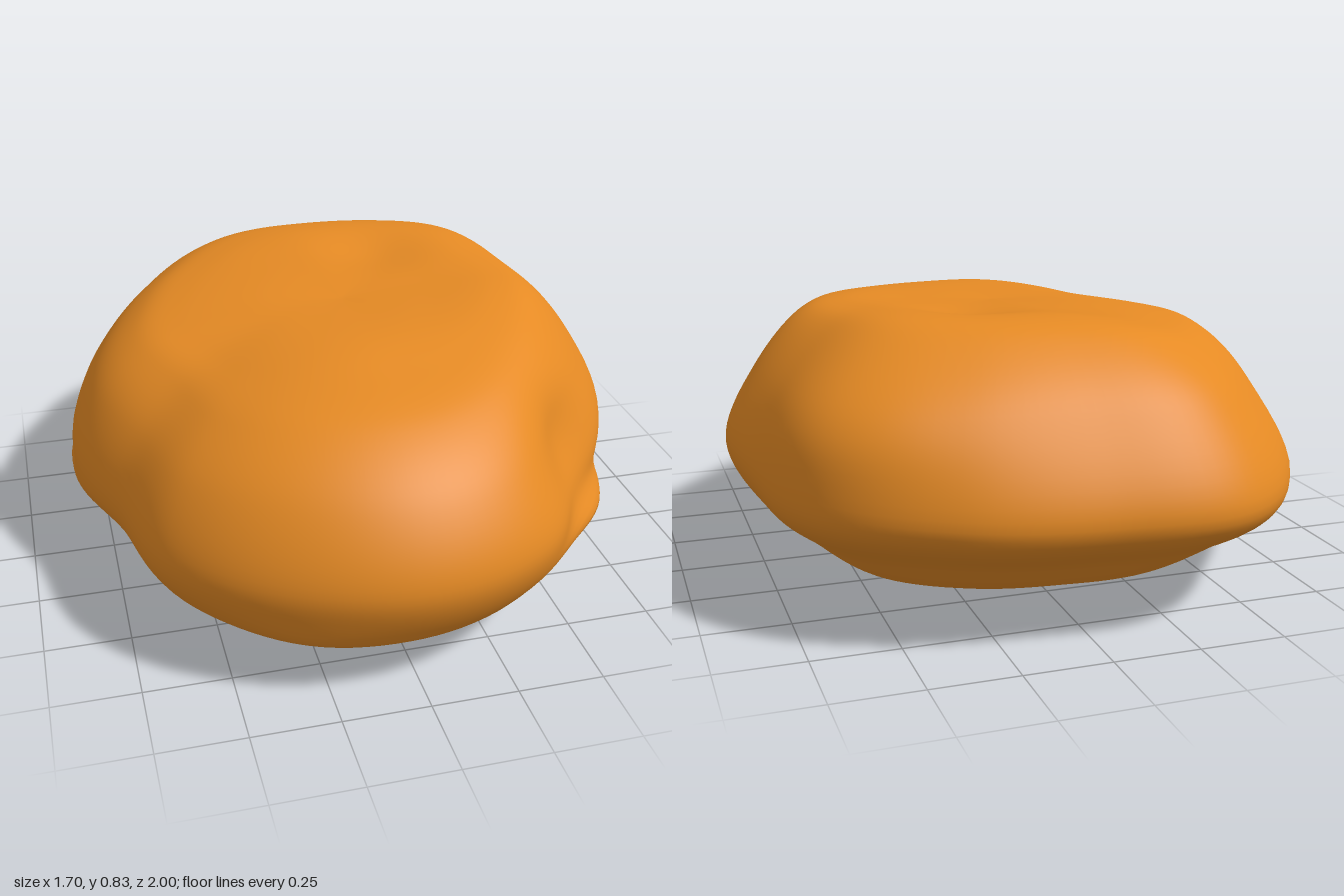
import * as THREE from 'three';
import { mergeVertices } from 'three/addons/utils/BufferGeometryUtils.js';

const AROUND = 144, DOWN = 80;

// Widest outline: radius every 22.5 degrees, turning from +x towards +z
const OUTLINE = [0.845, 0.82, 0.86, 0.95, 0.995, 0.975, 0.92, 0.81,
  0.85, 0.88, 0.97, 1.05, 0.985, 0.985, 0.98, 0.875];

// Profiles from top to bottom (fraction of outline, height) for +x, +z, -x, -z
const PROFILES = [
  [[0, 0.79], [0.3, 0.805], [0.57, 0.815], [0.73, 0.77], [0.89, 0.61], [1, 0.41], [0.9, 0.25], [0.71, 0.1], [0.5, 0.05], [0, 0.045]],
  [[0, 0.79], [0.3, 0.8], [0.5, 0.77], [0.72, 0.71], [0.9, 0.57], [1, 0.36], [0.92, 0.18], [0.8, 0.11], [0.6, 0.005], [0, 0.045]],
  [[0, 0.79], [0.3, 0.79], [0.58, 0.76], [0.75, 0.71], [0.9, 0.58], [1, 0.34], [0.94, 0.21], [0.68, 0.12], [0.4, 0.06], [0, 0.045]],
  [[0, 0.79], [0.3, 0.815], [0.53, 0.835], [0.69, 0.79], [0.87, 0.63], [1, 0.35], [0.8, 0.19], [0.6, 0.06], [0.3, 0.05], [0, 0.045]],
].map(p => new THREE.SplineCurve(p.map(([r, y]) => new THREE.Vector2(r, y))));

// Local swellings and dents: centre, spread across and in height, push outwards, lift upwards
const LUMPS = [
  { at: [0.5, 0.46, 0.57], wide: 0.22, tall: 0.18, push: -0.1, lift: 0 },    // front hollow
  { at: [0.68, 0.24, 0.48], wide: 0.28, tall: 0.06, push: 0.09, lift: 0 },   // lip below it
  { at: [0.7, 0.29, -0.5], wide: 0.3, tall: 0.08, push: 0.03, lift: 0 },     // back side belly
  { at: [0.58, 0.6, -0.6], wide: 0.35, tall: 0.16, push: 0.07, lift: 0 },    // back shoulder
  { at: [-0.6, 0.62, -0.55], wide: 0.3, tall: 0.16, push: -0.03, lift: 0 },
  { at: [-0.52, 0.66, 0.35], wide: 0.28, tall: 0.22, push: -0.02, lift: -0.05 }, // front side slope
  { at: [-0.8, 0.32, -0.33], wide: 0.22, tall: 0.04, push: -0.05, lift: 0 }, // side crease
  { at: [-0.8, 0.22, -0.33], wide: 0.24, tall: 0.05, push: 0.06, lift: 0 },  // side lobe
  { at: [-0.45, 0.09, 0.45], wide: 0.22, tall: 0.08, push: 0.09, lift: 0 },  // lower front corner
  { at: [-0.28, 0.18, 0.8], wide: 0.22, tall: 0.08, push: 0.03, lift: 0 },
  { at: [-0.62, 0.12, 0], wide: 0.22, tall: 0.1, push: -0.04, lift: 0 },
  { at: [0, 0.03, 0.2], wide: 0.25, tall: 0.1, push: 0, lift: 0.018 },       // hollow underside
  { at: [-0.4, 0.8, -0.5], wide: 0.3, tall: 0.3, push: 0, lift: -0.03 },     // top slopes
  { at: [0.4, 0.8, -0.4], wide: 0.22, tall: 0.3, push: 0, lift: 0.015 },
  { at: [0.18, 0.8, -0.3], wide: 0.14, tall: 0.2, push: 0, lift: -0.02 },    // top dimple
];

// Smooth closed interpolation of the outline
function outlineRadius(angle) {
  const n = OUTLINE.length, s = angle / (Math.PI * 2) * n;
  const i = Math.floor(s), t = s - i;
  const [a, b, c, d] = [-1, 0, 1, 2].map(k => OUTLINE[(i + k + n) % n]);
  return b + 0.5 * t * (c - a + t * (2 * a - 5 * b + 4 * c - d + t * (3 * (b - c) + d - a)));
}

function surfacePoint(angle, u) {
  const quarter = angle / (Math.PI / 2), q = Math.floor(quarter);
  const blend = THREE.MathUtils.smoothstep(quarter - q, 0, 1);
  const p = PROFILES[q % 4].getPoint(u).lerp(PROFILES[(q + 1) % 4].getPoint(u), blend);
  const cos = Math.cos(angle), sin = Math.sin(angle);
  let r = p.x * outlineRadius(angle), y = p.y;
  const x = r * cos, z = r * sin;
  for (const { at, wide, tall, push, lift } of LUMPS) {
    const across = ((x - at[0]) ** 2 + (z - at[2]) ** 2) / wide ** 2;
    const weight = Math.exp(-across - ((p.y - at[1]) / tall) ** 2);
    r += push * weight;
    y += lift * weight;
  }
  return [r * cos, y, r * sin];
}

function createBodyGeometry() {
  const positions = [], index = [];
  for (let i = 0; i <= DOWN; i++) {
    for (let j = 0; j < AROUND; j++) {
      const p = surfacePoint(j / AROUND * Math.PI * 2, i / DOWN);
      if (i === 0 || i === DOWN) p[0] = p[2] = 0;
      positions.push(...p);
      if (i === DOWN) continue;
      const a = i * AROUND + j, b = i * AROUND + (j + 1) % AROUND;
      if (i > 0) index.push(a, b, a + AROUND);
      if (i < DOWN - 1) index.push(b, b + AROUND, a + AROUND);
    }
  }
  let geometry = new THREE.BufferGeometry();
  geometry.setAttribute('position', new THREE.Float32BufferAttribute(positions, 3));
  geometry.setIndex(index);
  geometry = mergeVertices(geometry);

  // Centre and stand on the ground
  geometry.computeBoundingBox();
  const box = geometry.boundingBox, centre = box.getCenter(new THREE.Vector3());
  geometry.translate(-centre.x, -box.min.y, -centre.z);
  geometry.computeVertexNormals();
  return geometry;
}

export function createModel() {
  const group = new THREE.Group();
  group.name = 'lumpyStone';
  const material = new THREE.MeshStandardMaterial({ color: 0xe58a24 });
  const body = new THREE.Mesh(createBodyGeometry(), material);
  body.name = 'stoneBody';
  group.add(body);
  return group;
}
